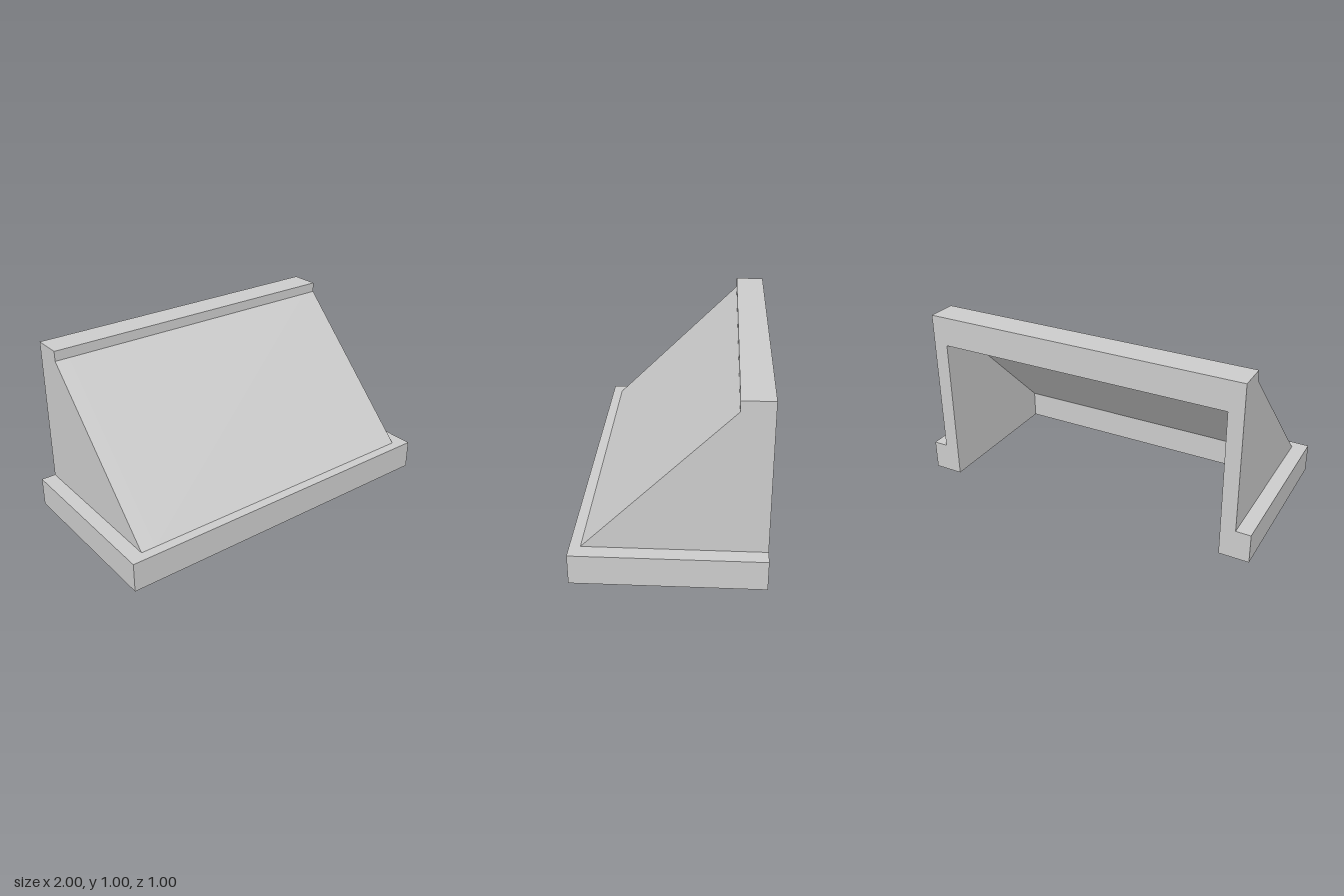
import * as THREE from 'three';

const material = new THREE.MeshStandardMaterial({ color: 0xcccccc, flatShading: true });

// Extrudes a closed outline of [x, y] points.
function extrude(points, depth) {
  const shape = new THREE.Shape(points.map(([x, y]) => new THREE.Vector2(x, y)));
  return new THREE.ExtrudeGeometry(shape, { depth, bevelEnabled: false });
}

// Extrudes a side profile of [z, y] points across the width from x0 to x1.
function across(name, profile, x0, x1) {
  const geometry = extrude(profile.map(([z, y]) => [-z, y]), x1 - x0);
  geometry.rotateY(Math.PI / 2).translate(x0, 0, 0);
  const mesh = new THREE.Mesh(geometry, material);
  mesh.name = name;
  return mesh;
}

export function createModel() {
  const group = new THREE.Group();
  group.name = 'slopedHousing';

  const back = -0.5, baseTop = 1 / 6;
  const outer = 0.917, inner = 0.833; // half widths of the shell
  const outerFoot = [0.443, baseTop], outerStep = [-0.333, 0.943];

  // U-shaped base frame, open at the back
  const plan = [
    [-1, back], [-1, 0.5], [1, 0.5], [1, back],
    [inner, back], [inner, 0.333], [-inner, 0.333], [-inner, back],
  ];
  const base = new THREE.Mesh(
    extrude(plan.map(([x, z]) => [x, -z]), baseTop).rotateX(-Math.PI / 2), material);
  base.name = 'baseFrame';
  group.add(base);

  // Sloped front panel with the stepped top rail
  group.add(across('slopedPanel', [
    outerFoot, outerStep, [-0.333, 1], [back, 1],
    [back, 0.833], [-0.341, 0.833], [0.333, 0.159], [0.333, baseTop],
  ], -inner, inner));

  // Solid side walls
  const side = [outerFoot, outerStep, [-0.333, 1], [back, 1], [back, baseTop]];
  group.add(across('leftWall', side, inner, outer));
  group.add(across('rightWall', side, -outer, -inner));

  return group;
}
